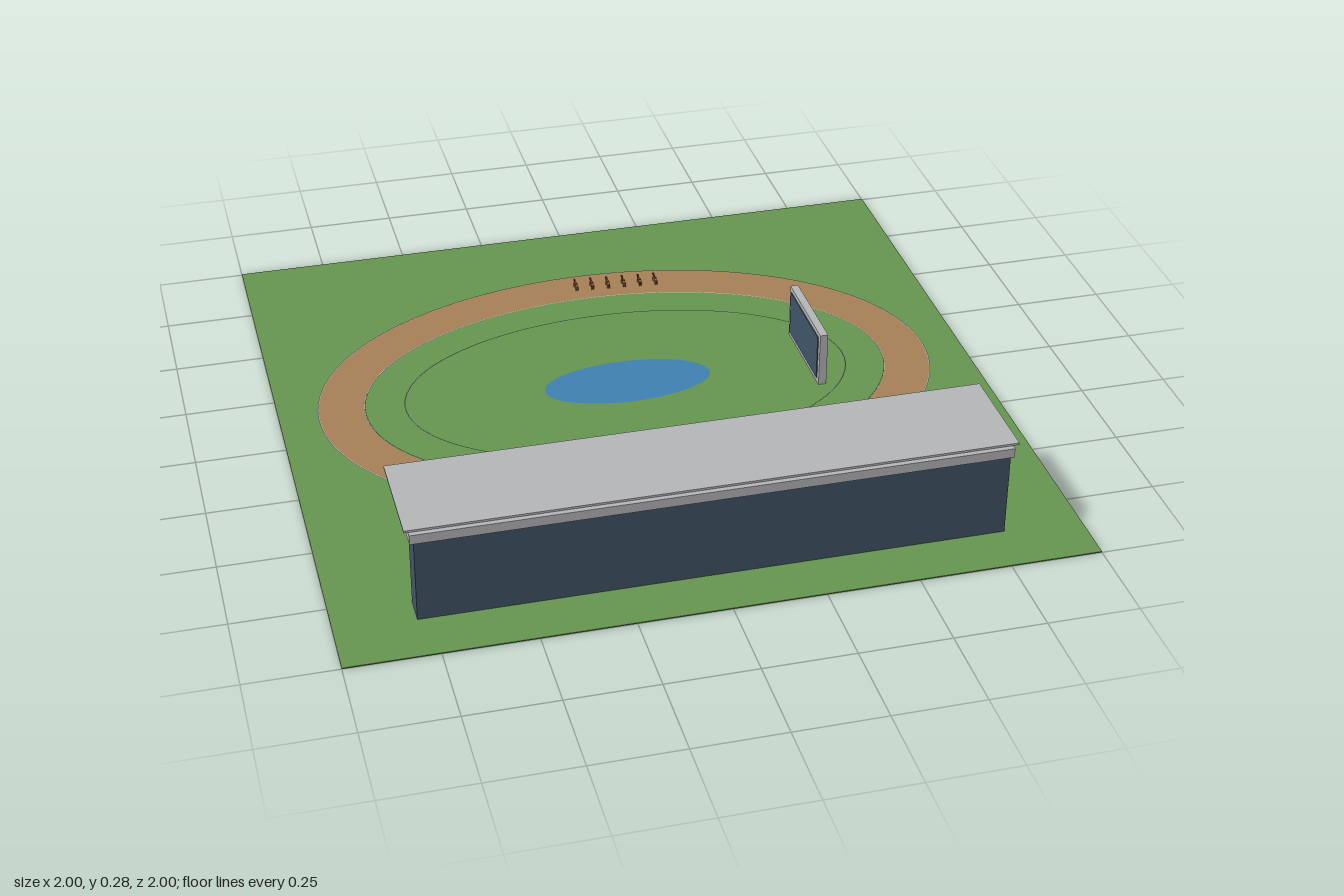
import * as THREE from 'three';
import { mergeGeometries } from 'three/addons/utils/BufferGeometryUtils.js';

const mat = (name, color, side = THREE.FrontSide) => {
  const m = new THREE.MeshStandardMaterial({ color, side });
  m.name = name;
  return m;
};

// Box given by its min and max corners
const box = (x0, x1, y0, y1, z0, z1) =>
  new THREE.BoxGeometry(x1 - x0, y1 - y0, z1 - z0)
    .translate((x0 + x1) / 2, (y0 + y1) / 2, (z0 + z1) / 2);

// Flat ellipse, or elliptical ring, lying on the ground
function flatEllipse(rx, rz, y, innerX = 0, innerZ = 0) {
  const s = new THREE.Shape();
  s.absellipse(0, 0, rx, rz, 0, Math.PI * 2);
  if (innerX) {
    const h = new THREE.Path();
    h.absellipse(0, 0, innerX, innerZ, 0, Math.PI * 2, true);
    s.holes.push(h);
  }
  return new THREE.ShapeGeometry(s, 64).rotateX(-Math.PI / 2).translate(0, y, -0.11);
}

export function createModel() {
  const grass = mat('grass green', 0x659550);
  const dirt = mat('dirt brown', 0xa57f57);
  const water = mat('water blue', 0x4080b0);
  const grey = mat('concrete grey', 0xb4b5b7);
  const navy = mat('slate blue', 0x3f5366);
  const tan = mat('tan coat', 0xa0703c);
  const dark = mat('dark mane', 0x5a3a1e);

  const model = new THREE.Group();
  model.name = 'racecourse';
  const add = (name, geometry, material, parent = model) => {
    const mesh = new THREE.Mesh(geometry, material);
    mesh.name = name;
    parent.add(mesh);
    return mesh;
  };

  // Ground, track and pond
  add('ground', box(-1, 1, 0, 0.003, -1, 1), grass);
  add('track', flatEllipse(0.89, 0.62, 0.005, 0.76, 0.487), dirt);
  add('pond', flatEllipse(0.243, 0.108, 0.005), water);

  // Thin rails around the track and the infield
  for (const [rx, rz] of [[0.89, 0.62], [0.758, 0.485], [0.645, 0.377]]) {
    add('rail', flatEllipse(rx + 0.0015, rz + 0.0015, 0.006, rx - 0.0015, rz - 0.0015), grey);
  }

  // Grandstand: rear building, fascia and overhanging roof
  const stand = new THREE.Group();
  stand.name = 'grandstand';
  model.add(stand);
  add('rearBuilding', box(-0.785, 0.785, 0.001, 0.25, 0.775, 0.852), navy, stand);
  add('fascia', box(-0.797, 0.79, 0.245, 0.272, 0.762, 0.865), grey, stand);
  add('roof', box(-0.808, 0.806, 0.273, 0.279, 0.555, 0.852), grey, stand);

  // Stepped terrace with rows of seats
  const rows = 14, z0 = 0.588, depth = 0.177 / rows, rise = 0.112 / rows;
  const steps = [], seats = [];
  for (let r = 0; r < rows; r++) {
    const z = z0 + r * depth, y = (r + 1) * rise;
    steps.push(box(-0.735, 0.735, 0.001, y, z, z + depth));
    if (r === rows - 1) continue;
    for (let c = 0; c < 56; c++) {
      const x = -0.715 + c * 0.026;
      seats.push(box(x - 0.008, x + 0.008, y, y + 0.005, z + 0.005, z + depth));
    }
  }
  add('terrace', mergeGeometries(steps), grey, stand);
  add('seats', mergeGeometries(seats), navy, stand);

  // Big display board facing the stand side of the infield
  const board = new THREE.Group();
  board.name = 'displayBoard';
  model.add(board);
  add('boardCase', box(0.527, 0.55, 0.001, 0.166, -0.253, 0.039), grey, board);
  add('screen', box(0.524, 0.528, 0.018, 0.152, -0.238, 0.024), navy, board);

  // Row of small horses on the far straight
  for (let i = 0; i < 6; i++) {
    const horse = new THREE.Group();
    horse.name = 'horse';
    horse.position.set(-0.025 + i * 0.0485, 0.004, -0.664 + i * 0.0045);
    model.add(horse);
    add('body', box(-0.004, 0.004, 0.008, 0.016, -0.012, 0.018), tan, horse);
    for (const x of [-0.0028, 0.0028]) {
      for (const z of [-0.009, 0.015]) {
        add('leg', box(x - 0.0012, x + 0.0012, 0, 0.008, z - 0.002, z + 0.002), tan, horse);
      }
    }
    const neck = add('neck', new THREE.BoxGeometry(0.004, 0.012, 0.006), dark, horse);
    neck.position.set(0, 0.016, -0.012);
    neck.rotation.x = -0.5;
    add('head', box(-0.0025, 0.0025, 0.017, 0.0215, -0.022, -0.012), dark, horse);
    add('saddle', box(-0.0045, 0.0045, 0.0155, 0.0175, -0.004, 0.006), dark, horse);
    add('tail', box(-0.001, 0.001, 0.006, 0.015, 0.018, 0.021), dark, horse);
  }
  return model;
}
